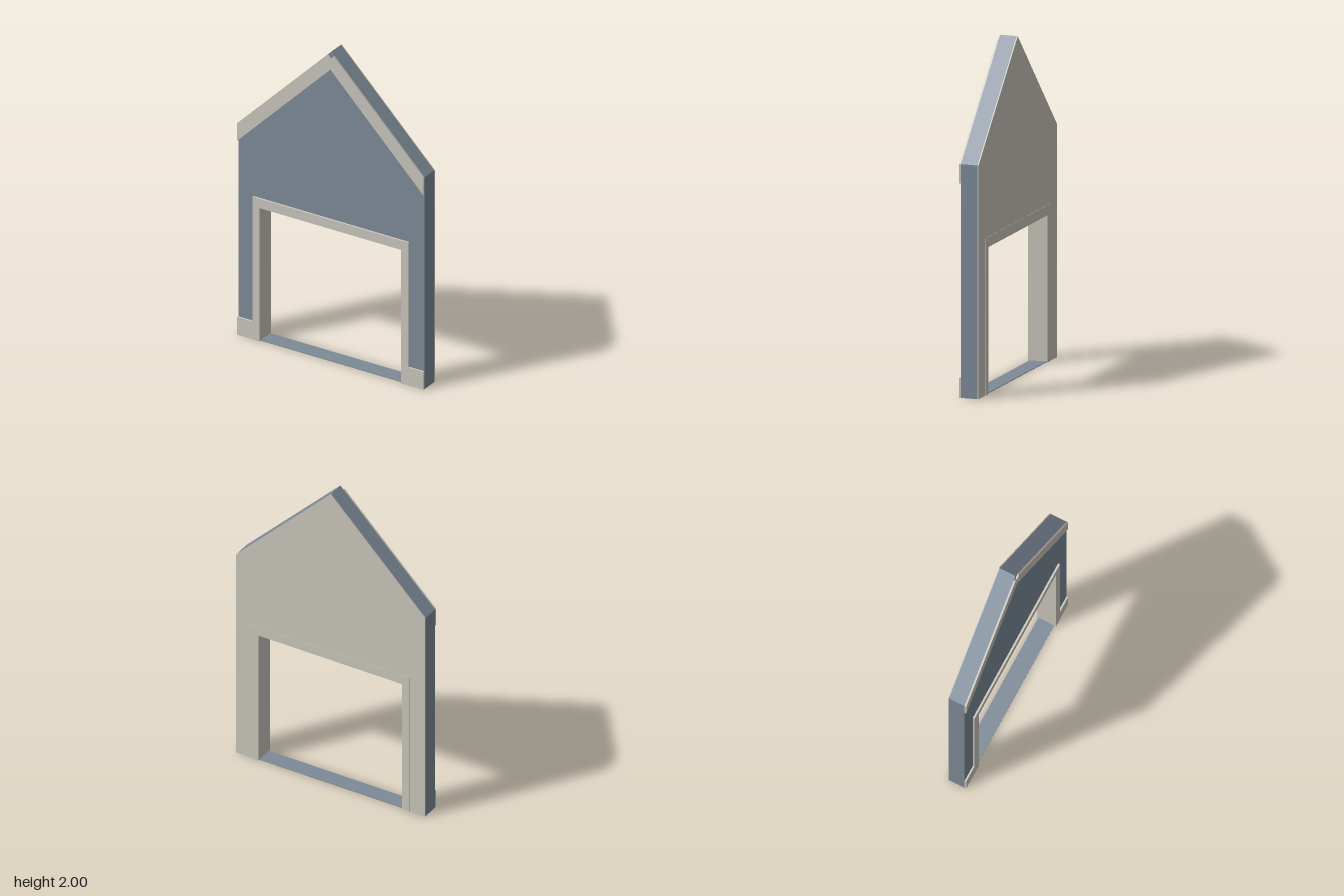
import * as THREE from 'three';

const W = 0.633, EAVE = 1.366, TOP = 2;      // wall outline
const FW = 0.53, FH = 0.92;                  // outer edge of door frame
const DW = 0.48, DH = 0.86;                  // clear opening

export function createModel() {
  const group = new THREE.Group();
  const blue = new THREE.MeshStandardMaterial({ color: 0x7d8b98 });
  blue.name = 'slate blue';
  const beige = new THREE.MeshStandardMaterial({ color: 0xcac6bd });
  beige.name = 'warm beige';

  // Extrude an outline of [x, y] points from z0 to z1
  const slab = (name, points, z0, z1, material) => {
    const shape = new THREE.Shape(points.map(([x, y]) => new THREE.Vector2(x, y)));
    const geometry = new THREE.ExtrudeGeometry(shape, { depth: z1 - z0, bevelEnabled: false });
    geometry.translate(0, 0, z0);
    const mesh = new THREE.Mesh(geometry, material);
    mesh.name = name;
    group.add(mesh);
  };

  // Gabled wall, open where the door frame sits
  const gable = [
    [-W, 0], [-FW, 0], [-FW, FH], [FW, FH], [FW, 0],
    [W, 0], [W, EAVE], [0, TOP], [-W, EAVE],
  ];
  slab('wall', gable, -0.053, 0.049, blue);
  slab('backPanel', gable, -0.059, -0.053, beige);

  // Door frame running through the wall, slightly proud on both sides
  slab('doorFrame', [
    [-FW, 0], [-DW, 0], [-DW, DH], [DW, DH], [DW, 0],
    [FW, 0], [FW, FH], [-FW, FH],
  ], -0.061, 0.061, beige);

  // Thin threshold between the jambs
  slab('threshold', [[-DW, 0], [DW, 0], [DW, 0.004], [-DW, 0.004]], -0.053, 0.049, blue);

  // Sloped gable trim with a small notch at the peak
  slab('gableTrim', [
    [-W, 1.252], [0, 1.888], [W, 1.252], [W, EAVE],
    [0.022, 1.978], [0, 1.956], [-0.022, 1.978], [-W, EAVE],
  ], 0.049, 0.06, beige);

  // Base blocks beside the door
  for (const [name, s] of [['leftBaseBlock', 1], ['rightBaseBlock', -1]]) {
    slab(name, [[s * FW, 0], [s * W, 0], [s * W, 0.115], [s * FW, 0.115]], 0.049, 0.06, beige);
  }
  return group;
}
